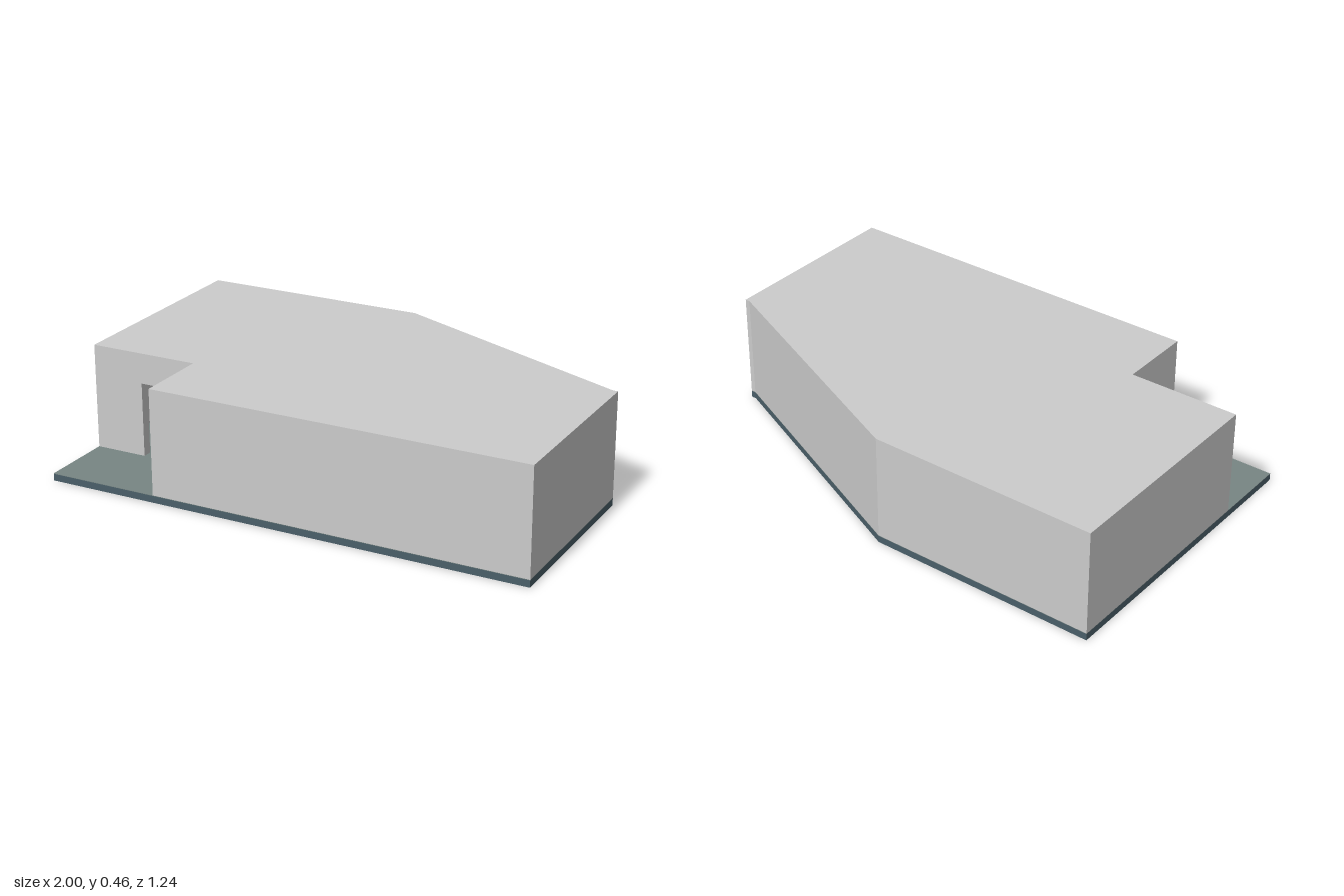
import * as THREE from 'three';

const grey = new THREE.MeshStandardMaterial({ color: 0xcccccc });
const slate = new THREE.MeshStandardMaterial({ color: 0x4a5f69 });
const paving = new THREE.MeshStandardMaterial({ color: 0x788684 });

// Extrude a plan outline of [x, z] points upwards from y0 to y1
function plate(name, outline, y0, y1, material) {
  const shape = new THREE.Shape(outline.map(([x, z]) => new THREE.Vector2(x, -z)));
  const geometry = new THREE.ExtrudeGeometry(shape, { depth: y1 - y0, bevelEnabled: false });
  geometry.rotateX(-Math.PI / 2).translate(0, y0, 0);
  const mesh = new THREE.Mesh(geometry, material);
  mesh.name = name;
  return mesh;
}

export function createModel() {
  const group = new THREE.Group();
  group.name = 'building';

  const floorY = 0.03, roofY = 0.43, topY = 0.46, doorTop = 0.335;
  const doorL = -0.785, doorR = -0.635, wallOut = 0.31, wallIn = 0.27;

  // Back and side corners shared by the slab, walls and roof
  const shell = [[1, 0.62], [1, -0.165], [0.98, -0.165], [-0.06, -0.62], [-1, -0.62]];
  const site = [[-1, 0.62], ...shell];
  const house = [[-0.545, wallOut], [-0.545, 0.62], ...shell, [-1, wallOut]];
  const inner = [[-0.96, wallIn], [-0.96, -0.58], [-0.07, -0.58], [0.96, -0.13],
    [0.96, 0.58], [-0.505, 0.58], [-0.505, wallIn]];

  // Ground slab with its paved surface, exposed at the entrance corner
  group.add(plate('baseSlab', site, 0, floorY - 0.002, slate));
  group.add(plate('floorSurface', site, floorY - 0.002, floorY, paving));

  // One continuous hollow wall, broken only at the doorway
  const walls = [[doorR, wallOut], ...house, [doorL, wallOut],
    [doorL, wallIn], ...inner, [doorR, wallIn]];
  group.add(plate('walls', walls, floorY, roofY, grey));

  // Wall above the doorway
  const lintel = [[doorL, wallOut], [doorR, wallOut], [doorR, wallIn], [doorL, wallIn]];
  group.add(plate('doorLintel', lintel, doorTop, roofY, grey));

  // Flat roof flush with the walls
  group.add(plate('roof', house, roofY, topY, grey));

  return group;
}
